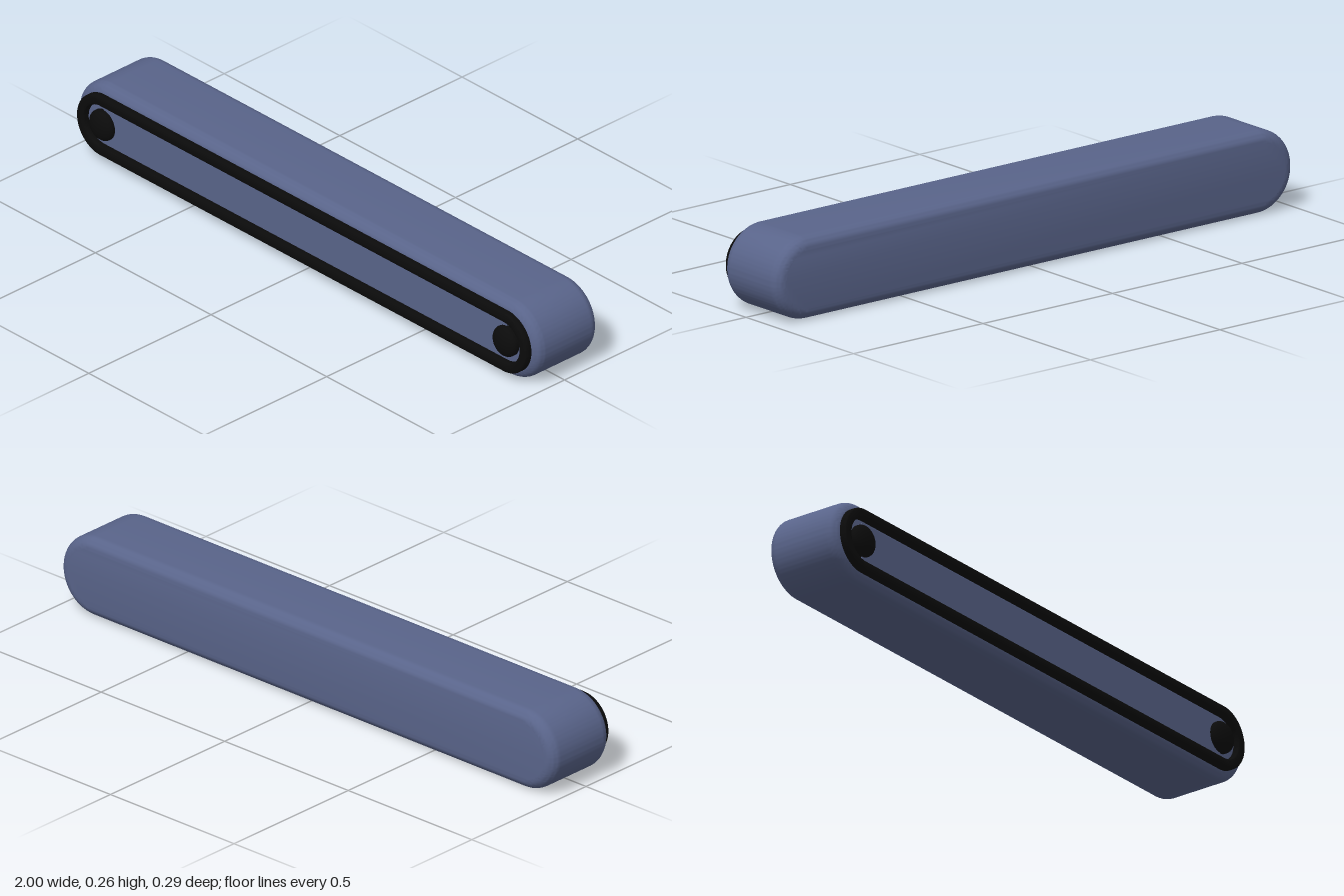
import * as THREE from 'three';
import { toCreasedNormals } from 'three/addons/utils/BufferGeometryUtils.js';

const CENTER_Y = 0.128;
const END_X = 0.872; // centre of the rounded ends

// Traces a stadium outline of the given end radius
function stadium(path, radius) {
  path.absarc(END_X, 0, radius, -Math.PI / 2, Math.PI / 2, false);
  path.absarc(-END_X, 0, radius, Math.PI / 2, Math.PI * 1.5, false);
  path.closePath();
  return path;
}

// Extrudes a shape from z0 to z1 with rounded edges kept inside the outline
function roundedExtrude(shape, z0, z1, bevel, segments) {
  const geometry = new THREE.ExtrudeGeometry(shape, {
    depth: z1 - z0 - 2 * bevel,
    bevelThickness: bevel,
    bevelSize: bevel,
    bevelOffset: -bevel,
    bevelSegments: segments,
    curveSegments: 32,
  });
  geometry.translate(0, 0, z0 + bevel);
  return toCreasedNormals(geometry, 0.6);
}

export function createModel() {
  const model = new THREE.Group();
  model.name = 'bar';
  const blue = new THREE.MeshStandardMaterial({ color: 0x59648a });
  const black = new THREE.MeshStandardMaterial({ color: 0x0b0b0b });

  const add = (name, geometry, material, x = 0, z = 0) => {
    const mesh = new THREE.Mesh(geometry, material);
    mesh.name = name;
    mesh.position.set(x, CENTER_Y, z);
    model.add(mesh);
    return mesh;
  };

  // Long body with soft edges
  add('body', roundedExtrude(stadium(new THREE.Shape(), 0.128), -0.145, 0.111, 0.036, 8), blue);

  // Raised rubber rim on the front
  const rimShape = stadium(new THREE.Shape(), 0.101);
  rimShape.holes.push(stadium(new THREE.Path(), 0.068));
  add('rim', roundedExtrude(rimShape, 0.102, 0.132, 0.008, 4), black);

  // Slim front panel between the two buttons
  add('frontPanel', new THREE.BoxGeometry(2 * END_X, 0.122, 0.01), blue, 0, 0.11);

  // Domed button at each end
  for (const [name, side] of [['leftButton', 1], ['rightButton', -1]]) {
    const dome = new THREE.SphereGeometry(0.05, 32, 10, 0, Math.PI * 2, 0, Math.PI / 2);
    dome.scale(1, 0.5, 1);
    dome.rotateX(Math.PI / 2);
    add(name, dome, black, side * END_X, 0.12);
    const base = new THREE.CylinderGeometry(0.05, 0.05, 0.02, 32, 1, true);
    base.rotateX(Math.PI / 2);
    add(name + 'Base', base, black, side * END_X, 0.11);
  }

  return model;
}
